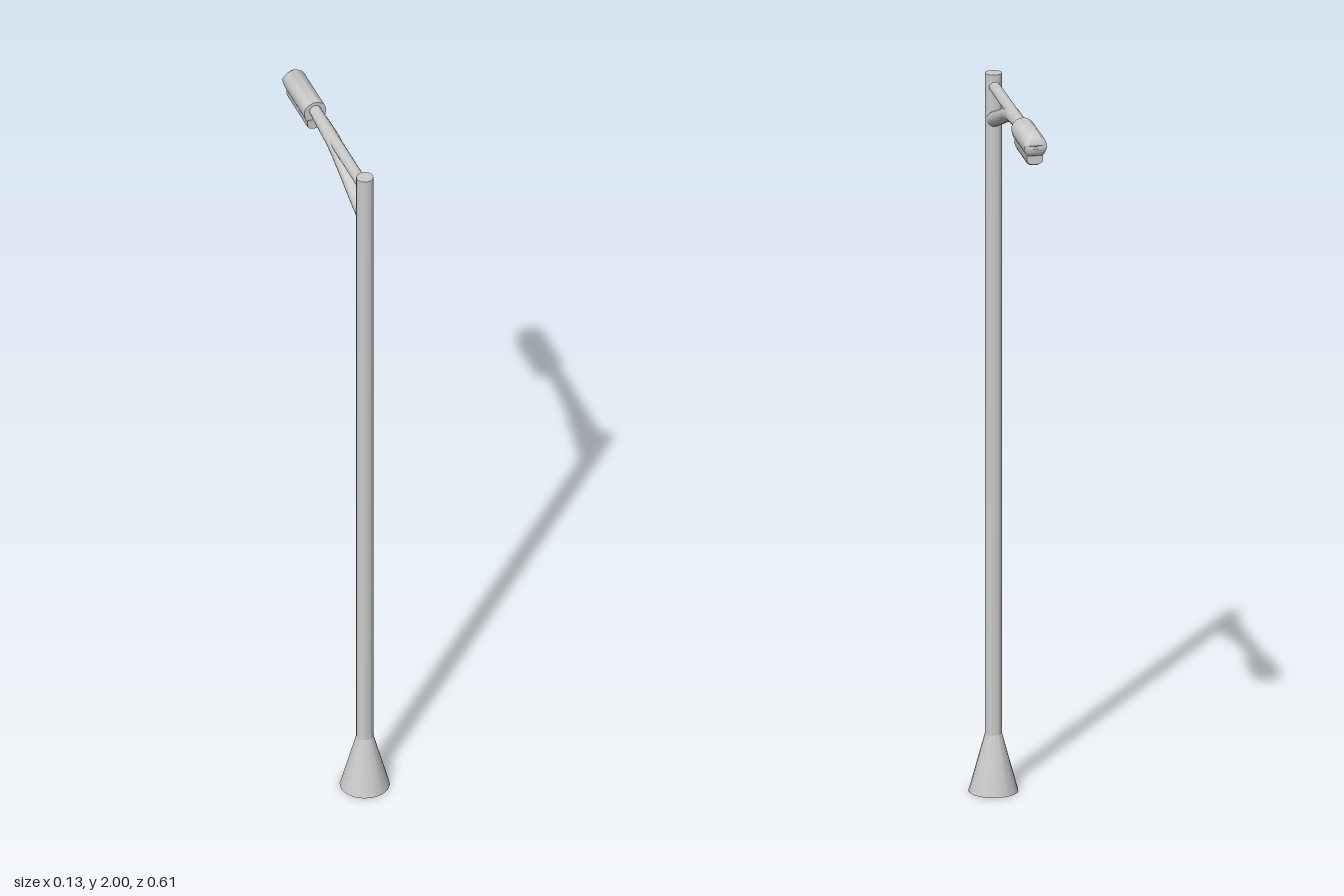
import * as THREE from 'three';
import { toCreasedNormals } from 'three/addons/utils/BufferGeometryUtils.js';

const material = new THREE.MeshStandardMaterial({ color: 0xcccccc });
const POLE_Z = 0.238;

function addMesh(group, name, geometry) {
  const mesh = new THREE.Mesh(toCreasedNormals(geometry, 0.7), material);
  mesh.name = name;
  group.add(mesh);
}

// Closed skin over rings of points that run from +z towards -z,
// each ring counter-clockwise as seen from +z
function loft(rings) {
  const n = rings[0].length, index = [];
  const points = rings.flat();
  const first = points.length, end = first + 1, last = (rings.length - 1) * n;
  for (const ring of [rings[0], rings[rings.length - 1]]) {
    const centre = new THREE.Vector3();
    ring.forEach((p) => centre.addScaledVector(p, 1 / n));
    points.push(centre);
  }
  for (let j = 0; j < n; j++) {
    const k = (j + 1) % n;
    for (let b = 0; b < last; b += n) {
      const c = b + n;
      index.push(b + j, c + k, b + k, b + j, c + j, c + k);
    }
    index.push(first, j, k, end, last + k, last + j);
  }
  const g = new THREE.BufferGeometry().setFromPoints(points);
  g.setIndex(index);
  return g;
}

// Round bar through [y, z, radius] stations
function bar(stations, sides = 16) {
  const centres = stations.map(([y, z]) => new THREE.Vector3(0, y, z));
  return loft(stations.map(([, , r], i) => {
    const dir = centres[Math.min(i + 1, centres.length - 1)].clone()
      .sub(centres[Math.max(i - 1, 0)]).normalize();
    const up = new THREE.Vector3(1, 0, 0).cross(dir);
    return Array.from({ length: sides }, (_, j) => {
      const a = (j / sides) * Math.PI * 2;
      const p = centres[i].clone().addScaledVector(up, r * Math.sin(a));
      p.x = r * Math.cos(a);
      return p;
    });
  }));
}

// Mirrored half profile of [x, y], bottom to top, at [z, height scale, peak]
// stations; heights scale about midY and peak pushes the middle backwards
function shell(half, midY, stations) {
  const left = half.filter(([x]) => x > 0).reverse().map(([x, y]) => [-x, y]);
  const profile = [...half, ...left];
  const halfWidth = Math.max(...half.map(([x]) => x));
  return loft(stations.map(([z, scale, peak]) => profile.map(([x, y]) =>
    new THREE.Vector3(x, midY + (y - midY) * scale,
      z - peak * (1 - Math.abs(x) / halfWidth)))));
}

export function createModel() {
  const model = new THREE.Group();
  model.name = 'streetLight';

  // Pole and flared foot
  const pole = new THREE.CylinderGeometry(0.023, 0.023, 1.85, 16);
  addMesh(model, 'pole', pole.translate(0, 1.075, POLE_Z));
  const foot = new THREE.CylinderGeometry(0.023, 0.067, 0.16, 16);
  addMesh(model, 'foot', foot.translate(0, 0.08, POLE_Z));

  // Horizontal arm and the brace that rises into it
  addMesh(model, 'arm', bar([[1.965, POLE_Z, 0.0155], [1.965, -0.14, 0.0155]]));
  addMesh(model, 'brace', bar([
    [1.87, POLE_Z, 0.021], [1.879, 0.215, 0.021], [1.92, 0.11, 0.0205],
    [1.947, 0.04, 0.0205], [1.958, 0, 0.0205], [1.96, -0.04, 0.0195],
    [1.964, -0.138, 0.016],
  ]));

  // Lamp housing with a domed top and a rounded, slightly pointed far end
  addMesh(model, 'lampHousing', shell([
    [0, 1.932], [0.021, 1.932], [0.025, 1.937], [0.029, 1.946], [0.031, 1.957],
    [0.03, 1.968], [0.026, 1.977], [0.018, 1.984], [0.009, 1.9885], [0, 1.99],
  ], 1.96, [
    [-0.133, 1, 0], [-0.288, 1, 0.003], [-0.294, 0.85, 0.004],
    [-0.298, 0.55, 0.005], [-0.3, 0.15, 0.005],
  ]));

  // Lens hanging under the housing, its lower ends rounded off
  addMesh(model, 'lens', shell([
    [0, 1.902], [0.01, 1.903], [0.018, 1.907], [0.022, 1.915], [0.022, 1.936],
    [0, 1.936],
  ], 1.936, [
    [-0.131, 0.85, 0], [-0.148, 1, 0], [-0.278, 1, 0], [-0.289, 0.85, 0],
  ]));

  return model;
}
